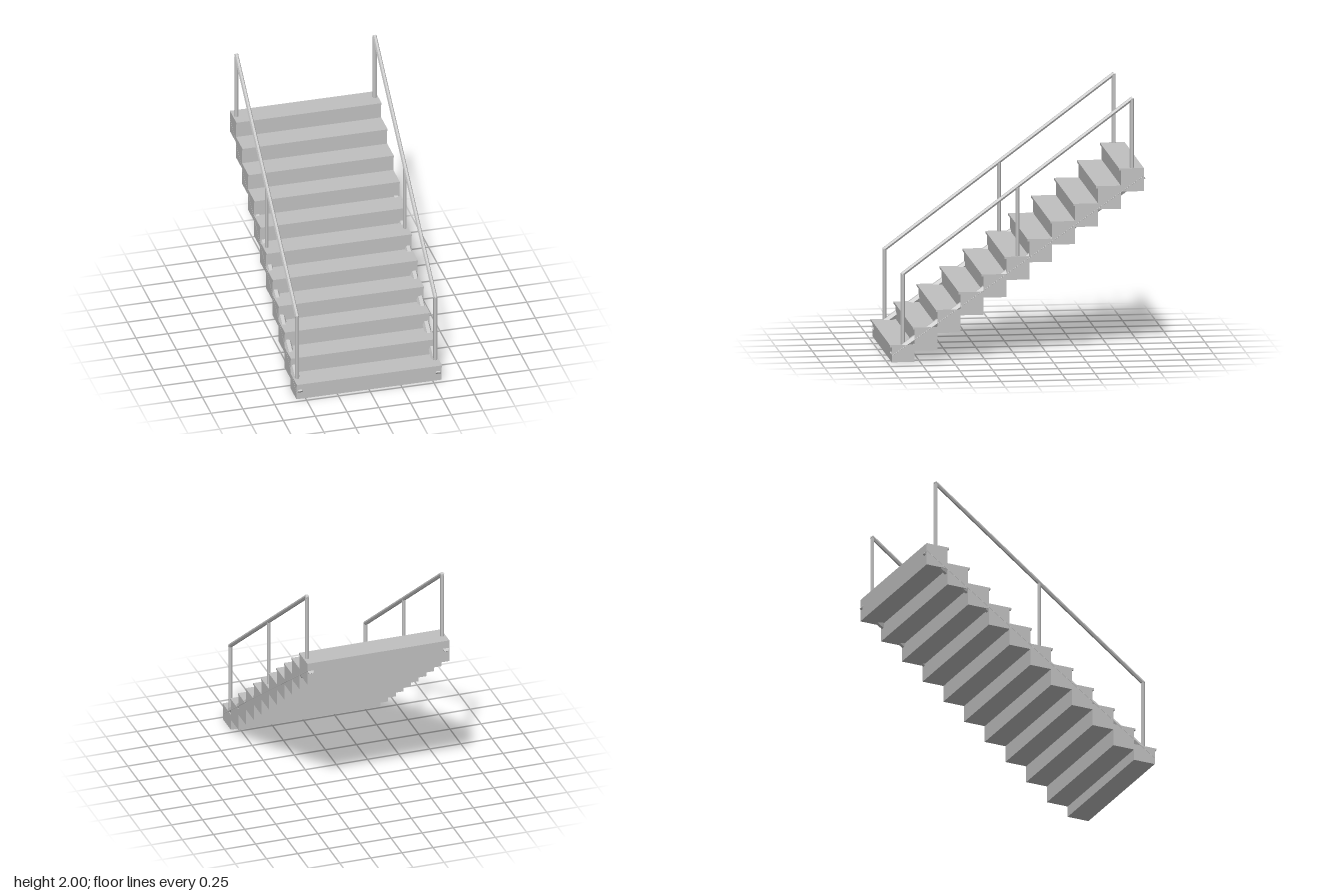
import * as THREE from 'three';

const STEPS = 11, RISE = 0.132, RUN = 0.175, HALF_WIDTH = 0.57;

export function createModel() {
  const group = new THREE.Group();
  const grey = new THREE.MeshStandardMaterial({ color: 0xc0c0c0, flatShading: true });

  const add = (geometry, name) => {
    const mesh = new THREE.Mesh(geometry, grey);
    mesh.name = name;
    group.add(mesh);
    return mesh;
  };

  // Six-sided bar between two points in the plane of constant x
  const bar = (x, [z0, y0], [z1, y1], radius, turn, name) => {
    const a = new THREE.Vector3(x, y0, z0), b = new THREE.Vector3(x, y1, z1);
    const dir = b.clone().sub(a);
    const geometry = new THREE.CylinderGeometry(radius, radius, dir.length(), 6);
    geometry.rotateY(turn);
    geometry.rotateX(Math.atan2(dir.z, dir.y));
    const mesh = add(geometry, name);
    mesh.position.copy(a).add(b).multiplyScalar(0.5);
  };

  // Steps: block with an overhanging lip at the front of the tread
  for (let i = 0; i < STEPS; i++) {
    const top = RISE * (i + 1);
    const bottom = Math.max(0, top - 0.178);
    const front = 0.965 - RUN * i, back = front - RUN;
    const profile = new THREE.Shape([
      [back, bottom], [front, bottom], [front, top - 0.016],
      [front + 0.014, top - 0.016], [front + 0.014, top], [back, top],
    ].map(([z, y]) => new THREE.Vector2(-z, y)));
    const geometry = new THREE.ExtrudeGeometry(profile, { depth: HALF_WIDTH * 2, bevelEnabled: false });
    geometry.translate(0, 0, -HALF_WIDTH);
    geometry.rotateY(Math.PI / 2);
    add(geometry, `step${i + 1}`);
  }

  for (const [side, label] of [[1, 'left'], [-1, 'right']]) {
    const x = side * 0.543;

    // Sloping support bar running through the steps
    bar(x, [0.962, 0.052], [-0.959, 1.39], 0.028, Math.PI / 6, `${label}Stringer`);

    // Posts and handrail
    bar(x, [0.878, 0.12], [0.878, 0.68], 0.016, 0, `${label}FrontPost`);
    bar(x, [0.002, 0.78], [0.002, 1.33], 0.014, 0, `${label}MiddlePost`);
    bar(x, [-0.872, 1.44], [-0.872, 1.985], 0.016, 0, `${label}BackPost`);
    bar(x, [0.884, 0.67], [-0.878, 1.987], 0.016, Math.PI / 6, `${label}Handrail`);
  }

  return group;
}
